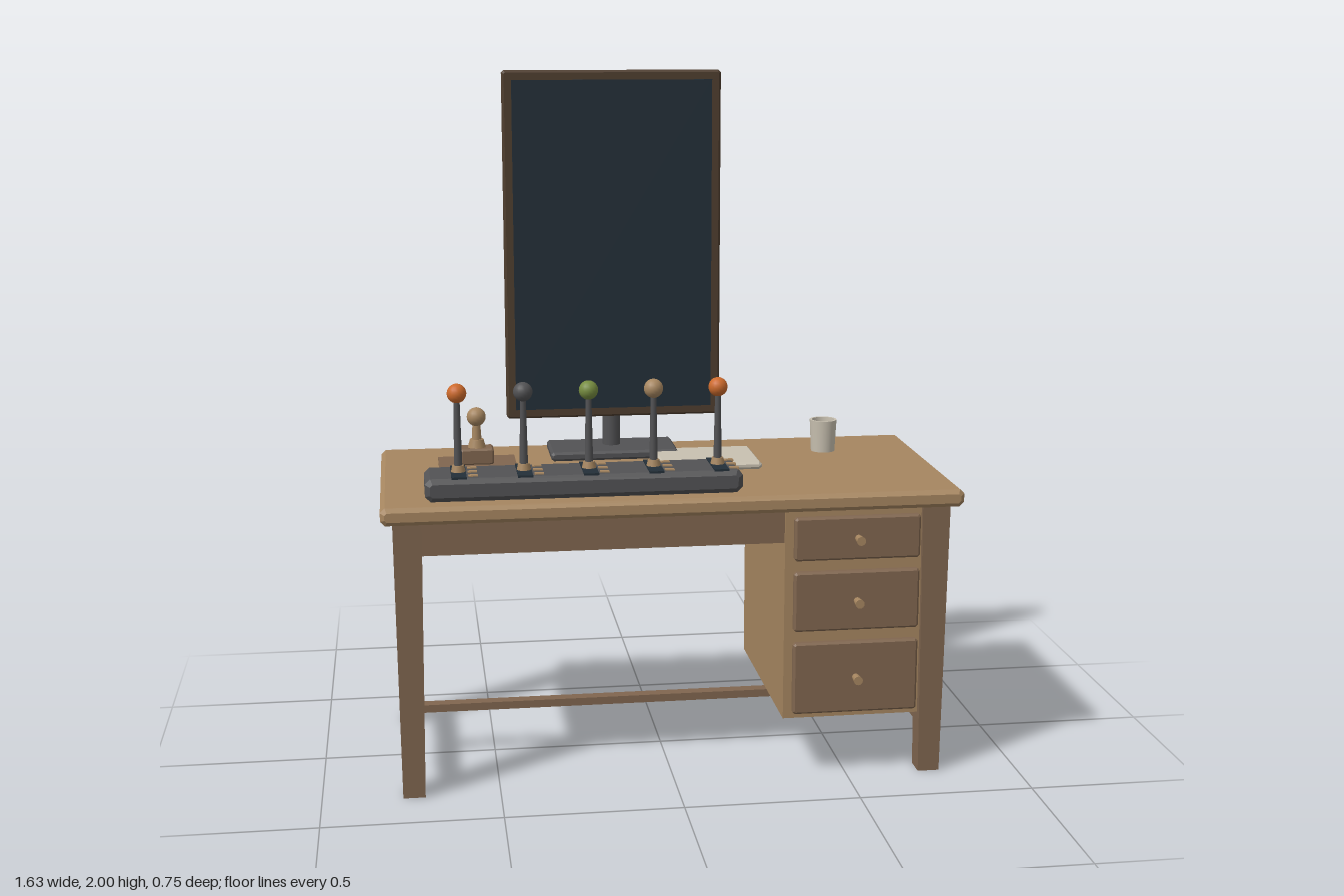
import * as THREE from 'three';

const mat = (name, color, side = THREE.FrontSide) => {
  const m = new THREE.MeshStandardMaterial({ color, side });
  m.name = name;
  return m;
};

export function createModel() {
  const root = new THREE.Group();
  root.name = 'controlDesk';

  const oak = mat('light oak', 0xa68660);
  const walnut = mat('walnut', 0x80664f);
  const darkWood = mat('dark wood', 0x4f3e2f);
  const glass = mat('dark screen', 0x232f38);
  const metal = mat('dark metal', 0x525254);
  const cream = mat('cream', 0xc8c0b0, THREE.DoubleSide);
  const orange = mat('orange', 0xcc6a2c);
  const green = mat('green', 0x768c40);

  const add = (name, geo, material, x = 0, y = 0, z = 0, parent = root) => {
    const mesh = new THREE.Mesh(geo, material);
    mesh.name = name;
    mesh.position.set(x, y, z);
    parent.add(mesh);
    return mesh;
  };

  // Plain box given by its extents
  const box = (name, material, [x0, x1], [y0, y1], [z0, z1], parent) =>
    add(name, new THREE.BoxGeometry(x1 - x0, y1 - y0, z1 - z0), material,
      (x0 + x1) / 2, (y0 + y1) / 2, (z0 + z1) / 2, parent);

  // Box with every edge chamfered by c
  const chamferBox = (name, material, [x0, x1], [y0, y1], [z0, z1], c, parent) => {
    const w = (x1 - x0) / 2 - c, h = (y1 - y0) / 2 - c, k = c * 0.5;
    const pts = [[w, -h + k], [w, h - k], [w - k, h], [-w + k, h],
      [-w, h - k], [-w, -h + k], [-w + k, -h], [w - k, -h]];
    const shape = new THREE.Shape(pts.map(p => new THREE.Vector2(...p)));
    const depth = z1 - z0 - 2 * c;
    const geo = new THREE.ExtrudeGeometry(shape, {
      depth, bevelEnabled: true, bevelSegments: 1, bevelSize: c, bevelThickness: c,
    });
    geo.translate(0, 0, -depth / 2);
    return add(name, geo, material, (x0 + x1) / 2, (y0 + y1) / 2, (z0 + z1) / 2, parent);
  };

  const rod = (name, material, rTop, rBottom, y0, y1, x, z, parent) =>
    add(name, new THREE.CylinderGeometry(rTop, rBottom, y1 - y0, 16), material,
      x, (y0 + y1) / 2, z, parent);
  const ball = (name, material, r, x, y, z, parent) =>
    add(name, new THREE.SphereGeometry(r, 18, 12), material, x, y, z, parent);

  // Table top
  chamferBox('tableTop', oak, [-0.815, 0.815], [0.8, 0.85], [-0.373, 0.373], 0.012);

  // Tapered legs
  const legGeo = new THREE.BoxGeometry(0.08, 0.8, 0.08);
  const p = legGeo.attributes.position;
  for (let i = 0; i < p.count; i++) {
    if (p.getY(i) < 0) {
      p.setX(i, p.getX(i) * 0.78);
      p.setZ(i, p.getZ(i) * 0.78);
    }
  }
  legGeo.computeVertexNormals();
  for (const sx of [-1, 1]) {
    for (const sz of [-1, 1]) add('leg', legGeo, walnut, sx * 0.743, 0.4, sz * 0.3);
    // Side rails
    box('sideApron', walnut, [sx * 0.743 - 0.018, sx * 0.743 + 0.018], [0.7, 0.8], [-0.27, 0.27]);
    box('sideStretcher', walnut, [sx * 0.743 - 0.02, sx * 0.743 + 0.02], [0.125, 0.167], [-0.275, 0.275]);
  }
  box('frontApron', walnut, [-0.71, 0.32], [0.7, 0.8], [0.282, 0.318]);
  box('backApron', walnut, [-0.71, 0.71], [0.7, 0.8], [-0.318, -0.282]);
  box('longStretcher', walnut, [-0.73, 0.73], [0.134, 0.157], [-0.018, 0.018]);

  // Drawer cabinet
  const cabinet = new THREE.Group();
  cabinet.name = 'drawerCabinet';
  root.add(cabinet);
  box('cabinetBody', oak, [0.31, 0.706], [0.18, 0.8], [-0.3, 0.325], cabinet);
  for (const [y0, y1] of [[0.65, 0.776], [0.442, 0.617], [0.196, 0.408]]) {
    chamferBox('drawerFront', walnut, [0.335, 0.698], [y0, y1], [0.318, 0.344], 0.006, cabinet);
    const knob = rod('drawerKnob', oak, 0.013, 0.01, -0.019, 0.019, 0.517, 0.36, cabinet);
    knob.rotation.x = Math.PI / 2;
    knob.position.y = (y0 + y1) / 2;
  }

  // Upright display
  const display = new THREE.Group();
  display.name = 'display';
  root.add(display);
  chamferBox('displayFrame', darkWood, [-0.438, 0.202], [0.977, 2], [-0.207, -0.165], 0.006, display);
  box('screen', glass, [-0.411, 0.175], [1.004, 1.973], [-0.168, -0.161], display);
  chamferBox('displayBackPanel', darkWood, [-0.32, 0.084], [1.203, 1.773], [-0.236, -0.2], 0.006, display);
  rod('standPost', metal, 0.027, 0.027, 0.86, 1.438, -0.118, -0.238, display);
  chamferBox('standBase', metal, [-0.31, 0.074], [0.85, 0.877], [-0.316, -0.13], 0.007, display);

  // Lever console
  const console_ = new THREE.Group();
  console_.name = 'leverConsole';
  root.add(console_);
  chamferBox('consoleBody', metal, [-0.692, 0.19], [0.85, 0.915], [0.157, 0.325], 0.014, console_);
  [orange, metal, green, oak, orange].forEach((knobColor, i) => {
    const x = -0.598 + i * 0.182, z = 0.24;
    box('leverSlot', glass, [x - 0.021, x + 0.021], [0.911, 0.918], [0.168, 0.314], console_);
    for (const dz of [-0.048, 0, 0.048]) {
      box('positionMark', oak, [x + 0.026, x + 0.052], [0.911, 0.918], [z + dz - 0.009, z + dz + 0.009], console_);
    }
    rod('leverCollar', oak, 0.016, 0.021, 0.915, 0.936, x, z, console_);
    rod('leverShaft', metal, 0.008, 0.012, 0.92, 1.125, x, z, console_);
    ball('leverKnob', knobColor, 0.027, x, 1.138, z, console_);
  });

  // Small joystick
  const stick = new THREE.Group();
  stick.name = 'joystick';
  root.add(stick);
  box('joystickPlate', walnut, [-0.645, -0.417], [0.85, 0.859], [-0.204, -0.034], stick);
  chamferBox('joystickBlock', walnut, [-0.581, -0.483], [0.858, 0.906], [-0.152, -0.082], 0.005, stick);
  rod('joystickCollar', oak, 0.02, 0.027, 0.905, 0.93, -0.532, -0.117, stick);
  rod('joystickShaft', oak, 0.011, 0.015, 0.92, 0.985, -0.532, -0.117, stick);
  ball('joystickKnob', oak, 0.028, -0.532, 0.997, -0.117, stick);

  // Paper pad
  chamferBox('paperPad', cream, [0, 0.296], [0.85, 0.872], [-0.178, 0.048], 0.007);

  // Hollow cup
  const cup = [[0, 0], [0.036, 0], [0.036, 0], [0.041, 0.097], [0.041, 0.097],
    [0.034, 0.097], [0.034, 0.097], [0.03, 0.012], [0.03, 0.012], [0, 0.012]];
  add('cup', new THREE.LatheGeometry(cup.map(q => new THREE.Vector2(...q)), 24), cream, 0.527, 0.85, -0.177);

  return root;
}
